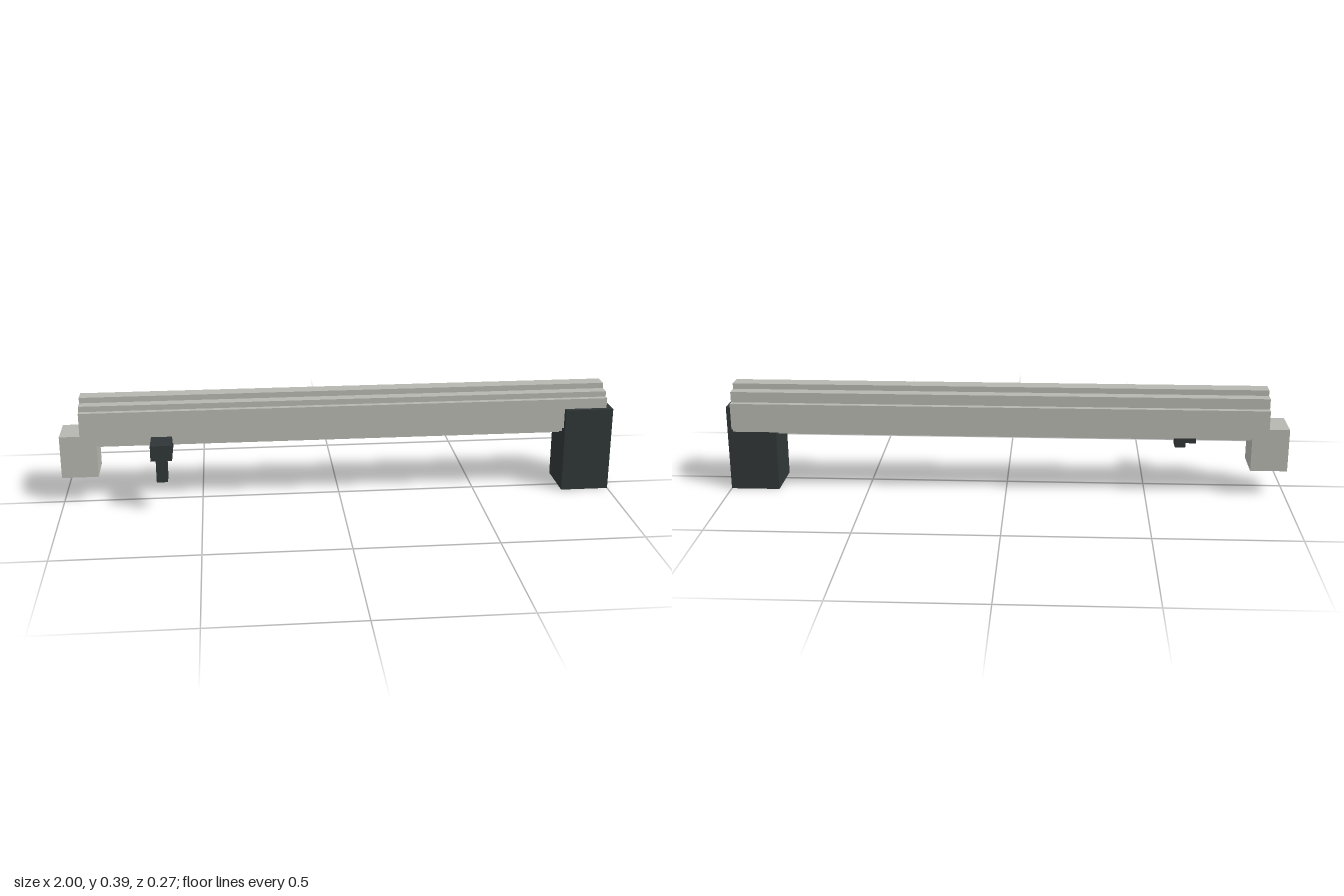
import * as THREE from 'three';

const steel = new THREE.MeshStandardMaterial({ color: 0xb7b7b1 });
steel.name = 'lightGrey';
const dark = new THREE.MeshStandardMaterial({ color: 0x303637 });
dark.name = 'darkGrey';

// Box given by its [min, max] range on each axis
function block(name, material, [x0, x1], [y0, y1], [z0, z1]) {
  const mesh = new THREE.Mesh(new THREE.BoxGeometry(x1 - x0, y1 - y0, z1 - z0), material);
  mesh.position.set((x0 + x1) / 2, (y0 + y1) / 2, (z0 + z1) / 2);
  mesh.name = name;
  return mesh;
}

// Long beam: one stepped, rounded cross-section swept along x
function beam(x0, x1) {
  const outline = [ // [z, y]
    [-0.075, 0.2], [-0.02, 0.2], [-0.02, 0.218], [0.02, 0.218], [0.02, 0.236],
    [0.04, 0.236], [0.04, 0.347], [0.02, 0.347], [0.02, 0.367], [-0.02, 0.367],
    [-0.02, 0.387], [-0.075, 0.387], [-0.075, 0.367], [-0.115, 0.367], [-0.115, 0.329],
    [-0.135, 0.329], [-0.135, 0.233], [-0.115, 0.233], [-0.115, 0.218], [-0.075, 0.218],
  ];
  const shape = new THREE.Shape(outline.map(([z, y]) => new THREE.Vector2(-z, y)));
  const geometry = new THREE.ExtrudeGeometry(shape, { depth: x1 - x0, bevelEnabled: false });
  geometry.rotateY(Math.PI / 2);
  const mesh = new THREE.Mesh(geometry, steel);
  mesh.position.x = x0;
  mesh.name = 'beam';
  return mesh;
}

export function createModel() {
  const model = new THREE.Group();
  model.name = 'model';
  model.add(beam(-0.925, 0.98));

  // End blocks
  model.add(block('endBlock', steel, [-1, -0.87], [0.1, 0.255], [-0.115, 0.02]));
  model.add(block('gripBlock', dark, [0.825, 1], [0, 0.31], [-0.115, 0.058]));

  // Side handle: arm through the beam with a short stem hanging down
  const handle = new THREE.Group();
  handle.name = 'handle';
  handle.add(block('handleArm', dark, [-0.675, -0.6], [0.195, 0.252], [-0.1, 0.135]));
  handle.add(block('handleStem', dark, [-0.657, -0.618], [0.116, 0.195], [0.078, 0.135]));
  model.add(handle);
  return model;
}
